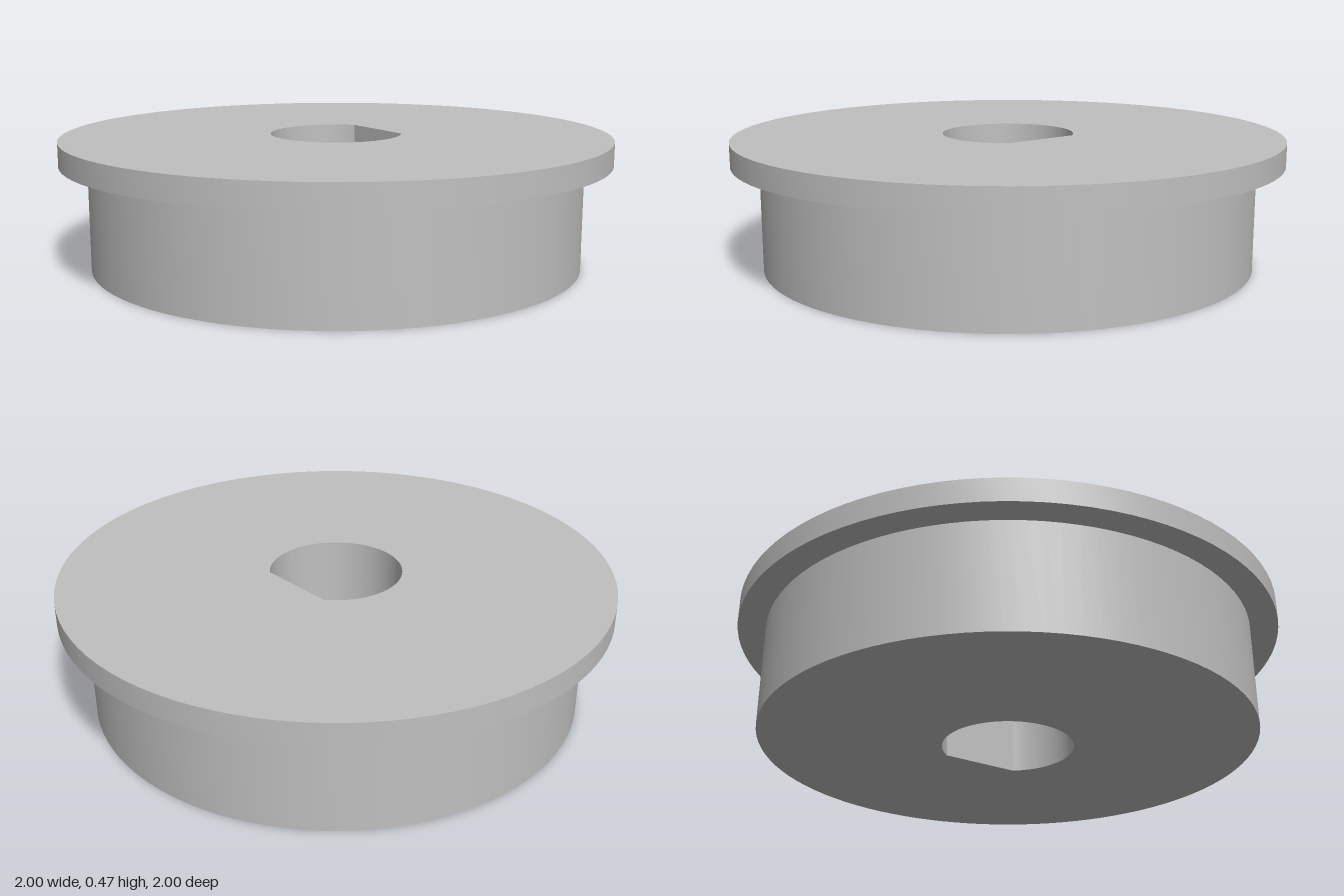
import * as THREE from 'three';
import { toCreasedNormals } from 'three/addons/utils/BufferGeometryUtils.js';

const HEIGHT = 0.47, LEDGE = 0.385;        // total height, underside of the flange
const BODY_R = 0.9, FLANGE_R = 1;
const BORE_R = 0.24, FLAT_X = 0.19;        // D-shaped bore
const ARC = 48;                            // half the segments of a full circle

// Circle with the flat side at +x
function borePath() {
  const a = Math.acos(FLAT_X / BORE_R);
  const path = new THREE.Path();
  path.absarc(0, 0, BORE_R, a, 2 * Math.PI - a, false);
  path.closePath();
  return path;
}

// Flat disc pierced by the bore, facing up
function endFace(radius) {
  const shape = new THREE.Shape();
  shape.absarc(0, 0, radius, 0, 2 * Math.PI, false);
  shape.holes.push(borePath());
  return new THREE.ShapeGeometry(shape, ARC).rotateX(-Math.PI / 2);
}

// Inward-facing wall that follows the bore outline
function boreWall() {
  const pts = borePath().getPoints(ARC);
  const pos = [];
  for (let i = 0; i < pts.length - 1; i++) {
    const a = pts[i], b = pts[i + 1];
    if (a.distanceTo(b) < 1e-6) continue;
    pos.push(a.x, 0, -a.y, a.x, HEIGHT, -a.y, b.x, HEIGHT, -b.y);
    pos.push(a.x, 0, -a.y, b.x, HEIGHT, -b.y, b.x, 0, -b.y);
  }
  const geo = new THREE.BufferGeometry();
  geo.setAttribute('position', new THREE.Float32BufferAttribute(pos, 3));
  return toCreasedNormals(geo, 0.4);
}

export function createModel() {
  const group = new THREE.Group();
  group.name = 'flangedBushing';
  const metal = new THREE.MeshStandardMaterial({ color: 0xc0c0c0 });
  metal.name = 'greyMetal';

  const add = (name, geo) => {
    const mesh = new THREE.Mesh(geo, metal);
    mesh.name = name;
    group.add(mesh);
    return mesh;
  };

  // Stepped outside: body wall, flange underside, flange rim
  const profile = [[BODY_R, 0], [BODY_R, LEDGE], [FLANGE_R, LEDGE], [FLANGE_R, HEIGHT]]
    .map(([r, y]) => new THREE.Vector2(r, y));
  add('bodyAndFlangeWall', toCreasedNormals(new THREE.LatheGeometry(profile, ARC * 2), 0.4));

  // End faces and bore
  add('topFace', endFace(FLANGE_R)).position.y = HEIGHT;
  add('bottomFace', endFace(BODY_R).rotateX(Math.PI));
  add('boreWall', boreWall());

  return group;
}
